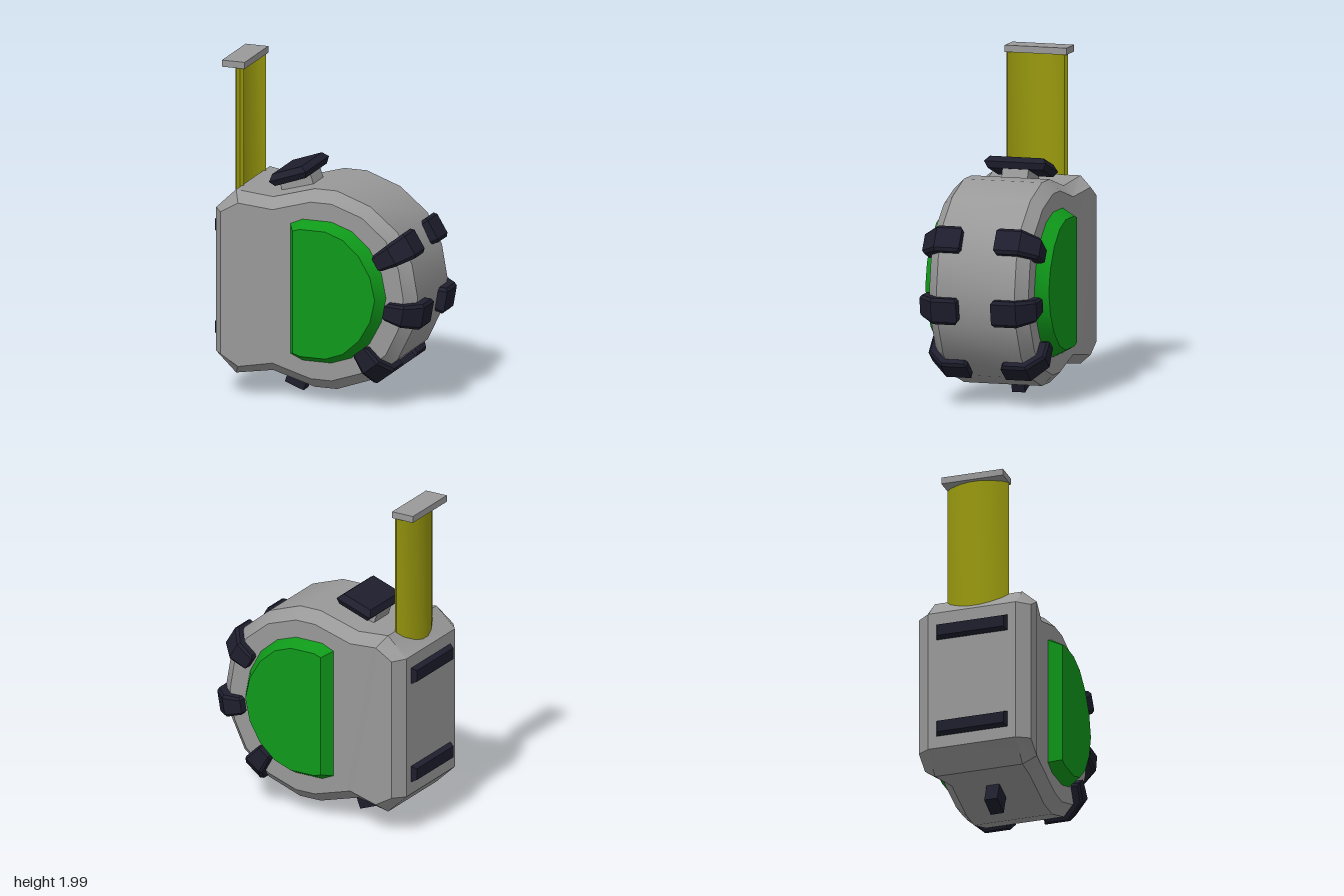
import * as THREE from 'three';
import { toCreasedNormals } from 'three/addons/utils/BufferGeometryUtils.js';

const MID = 0.695; // height of the case's axis of symmetry
const mat = (color) => new THREE.MeshStandardMaterial({ color });

// Closed shell, symmetric in y about MID and in z. Rows are [x, half height, half depth];
// "face" outlines the flat sides, "rim" outlines the edge band between them.
function shell(face, rim) {
  const pos = [];
  const n = face.length;
  const ring = (rows, s) => {
    const top = rows.map(([x, h, z]) => [x, MID + h, s * z]);
    const bottom = rows.map(([x, h, z]) => [x, MID - h, s * z]);
    return [...top, ...bottom.reverse()];
  };
  const quad = (a, b, c, d) => pos.push(...a, ...b, ...c, ...a, ...c, ...d);
  const rings = [ring(face, 1), ring(rim, 1), ring(rim, -1), ring(face, -1)];
  const m = 2 * n;
  for (let k = 0; k < 3; k++) {
    for (let j = 0; j < m; j++) {
      if (j === n - 1) continue; // both halves meet at the nose
      const j2 = (j + 1) % m;
      quad(rings[k][j], rings[k][j2], rings[k + 1][j2], rings[k + 1][j]);
    }
  }
  for (let i = 0; i < n - 1; i++) {
    const [f, b] = [rings[0], rings[3]];
    quad(f[i], f[m - 1 - i], f[m - 2 - i], f[i + 1]);
    quad(b[i], b[i + 1], b[m - 2 - i], b[m - 1 - i]);
  }
  const g = new THREE.BufferGeometry();
  g.setAttribute('position', new THREE.Float32BufferAttribute(pos, 3));
  return toCreasedNormals(g, 0.48);
}

// Box whose top and bottom are narrowed around its middle
function pillow(w, h, d, top, bottom) {
  const g = new THREE.BoxGeometry(w, h, d, 1, 2, 1);
  const p = g.attributes.position;
  for (let i = 0; i < p.count; i++) {
    const y = p.getY(i);
    const inset = y > 0.001 ? top : y < -0.001 ? bottom : 0;
    p.setX(i, p.getX(i) - Math.sign(p.getX(i)) * inset);
    p.setZ(i, p.getZ(i) - Math.sign(p.getZ(i)) * inset);
  }
  return toCreasedNormals(g, 0.3);
}

// Grip that wraps the case edge and widens away from the axis
function gripGeometry(side) {
  const pts = [[0.61, 0.12], [0.61, 0.255], [0.525, 0.345], [0.425, 0.345],
    [0.425, 0.28], [0.5, 0.28], [0.54, 0.22], [0.54, 0.12]];
  const shape = new THREE.Shape(pts.map(([r, z]) => new THREE.Vector2(r, -side * z)));
  const g = new THREE.ExtrudeGeometry(shape, {
    depth: 0.12, bevelEnabled: true, bevelSize: 0.014, bevelThickness: 0.02, bevelSegments: 1,
  });
  g.translate(0, 0, -0.06);
  g.rotateX(-Math.PI / 2);
  const p = g.attributes.position;
  for (let i = 0; i < p.count; i++) {
    const t = (p.getX(i) - 0.42) / 0.2;
    p.setY(i, p.getY(i) * (0.64 + 0.38 * t));
  }
  return toCreasedNormals(g, 0.3);
}

export function createModel() {
  const model = new THREE.Group();
  model.name = 'tapeMeasure';
  const grey = mat(0x999999);
  const green = mat(0x0f991a);
  const yellow = mat(0x99990f);
  const dark = mat(0x1e1e2e);
  const add = (name, geometry, material, x = 0, y = 0, z = 0, turn = 0) => {
    const mesh = new THREE.Mesh(geometry, material);
    mesh.name = name;
    mesh.position.set(x, y, z);
    mesh.rotation.z = turn;
    model.add(mesh);
  };

  // Case
  add('case', shell(
    [[-0.58, 0.43, 0.345], [-0.47, 0.495, 0.345], [-0.27, 0.465, 0.305], [-0.03, 0.535, 0.305],
      [0.1, 0.535, 0.305], [0.29, 0.47, 0.305], [0.44, 0.345, 0.305], [0.52, 0.18, 0.305], [0.55, 0, 0.305]],
    [[-0.635, 0.435, 0.27], [-0.51, 0.555, 0.27], [-0.29, 0.525, 0.24], [-0.03, 0.6, 0.24],
      [0.11, 0.6, 0.24], [0.32, 0.525, 0.24], [0.49, 0.385, 0.24], [0.58, 0.2, 0.24], [0.615, 0, 0.24]],
  ), grey);

  // Raised panels on both sides
  add('sidePanels', shell(
    [[-0.115, 0.37, 0.38], [-0.07, 0.385, 0.38], [0.09, 0.385, 0.38], [0.2, 0.345, 0.38],
      [0.3, 0.255, 0.38], [0.37, 0.135, 0.38], [0.4, 0, 0.38]],
    [[-0.16, 0.395, 0.3], [-0.08, 0.43, 0.3], [0.1, 0.43, 0.3], [0.23, 0.385, 0.3],
      [0.34, 0.29, 0.3], [0.415, 0.15, 0.3], [0.445, 0, 0.3]],
  ), green);

  // Curved blade, hollow towards +x
  const outer = [[-0.517, 0.19], [-0.55, 0.16], [-0.585, 0.09], [-0.6, 0.03]];
  const inner = [[-0.578, 0.03], [-0.565, 0.08], [-0.535, 0.143], [-0.497, 0.175]];
  const flip = (rows) => rows.map(([x, z]) => [x, -z]).reverse();
  const outline = [...outer, ...flip(outer), ...flip(inner), ...inner];
  const bladeGeometry = new THREE.ExtrudeGeometry(
    new THREE.Shape(outline.map(([x, z]) => new THREE.Vector2(x, -z))),
    { depth: 0.86, bevelEnabled: false },
  );
  bladeGeometry.rotateX(-Math.PI / 2);
  add('blade', toCreasedNormals(bladeGeometry, 0.6), yellow, 0, 1.11, 0);
  add('bladeEnd', new THREE.BoxGeometry(0.142, 0.04, 0.38), grey, -0.559, 1.98, 0);

  // Lock button on its stem
  add('buttonStem', new THREE.BoxGeometry(0.205, 0.14, 0.16), grey, -0.202, 1.255, 0, 0.32);
  add('button', pillow(0.243, 0.072, 0.38, 0.025, 0.02), dark, -0.222, 1.332, 0, 0.34);

  // Foot under the case
  add('foot', new THREE.BoxGeometry(0.125, 0.17, 0.08), dark, -0.207, 0.107, 0, -0.36);

  // Strips on the back plate
  for (const s of [1, -1]) {
    add('backStrip', pillow(0.11, 0.09, 0.45, 0.02, 0), dark, -0.622, MID + s * 0.31, 0, Math.PI / 2);
  }

  // Grips around the round edge
  for (const side of [1, -1]) {
    const geometry = gripGeometry(side);
    for (const degrees of [31, -10, -52.5]) {
      add(side > 0 ? 'frontGrip' : 'backGrip', geometry, dark, 0.04, MID, 0, THREE.MathUtils.degToRad(degrees));
    }
  }
  return model;
}
